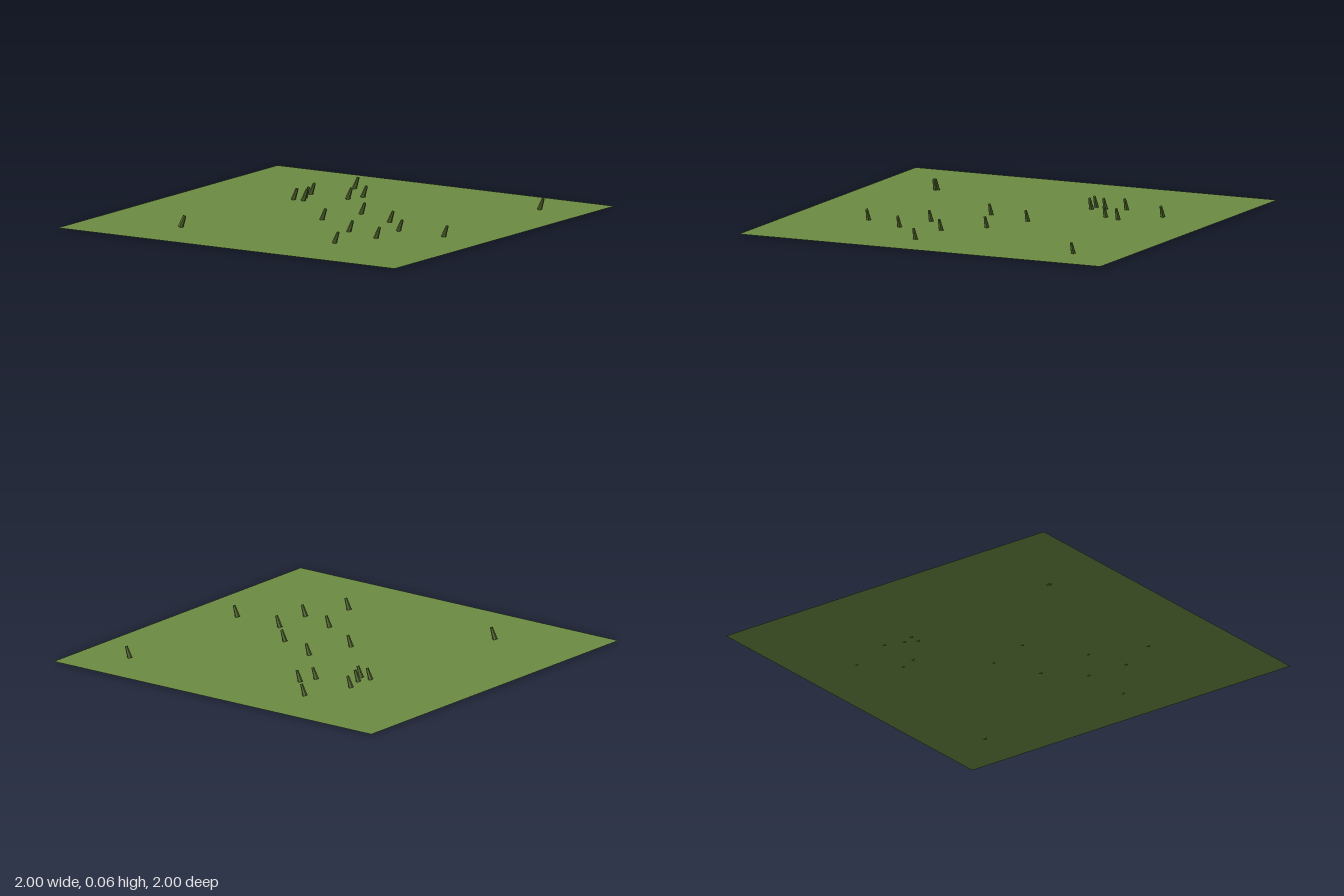
import * as THREE from 'three';

const GROUND_Y = 0.004;

// Tuft midpoints on the field: [x, z]
const TUFTS = [
  [-0.33, -0.69], [0.748, -0.722], [-0.17, -0.521], [-0.428, -0.442], [-0.204, -0.436],
  [-0.396, -0.341], [-0.423, -0.277], [-0.365, -0.278], [0.07, -0.138], [0.309, -0.029],
  [-0.007, 0.101], [0.475, 0.143], [0.748, 0.151], [0.279, 0.294], [0.487, 0.367],
  [0.385, 0.588], [-0.495, 0.638], [-0.488, 0.645],
];

export function createModel() {
  const model = new THREE.Group();
  model.name = 'grassField';

  const grass = new THREE.MeshStandardMaterial({ color: 0x6b8a42, side: THREE.DoubleSide });
  grass.name = 'grass green';
  const blade = new THREE.MeshStandardMaterial({ color: 0x556b2f, flatShading: true });
  blade.name = 'dark olive';

  // Flat square field
  const field = new THREE.Mesh(new THREE.PlaneGeometry(2, 2).rotateX(-Math.PI / 2), grass);
  field.name = 'field';
  field.position.y = GROUND_Y;
  model.add(field);

  // Stubby tapered tufts, all leaning towards +x
  const tuftGeometry = new THREE.CylinderGeometry(0.007, 0.013, 0.062, 6);
  tuftGeometry.rotateZ(-0.38);
  tuftGeometry.computeBoundingBox();
  tuftGeometry.translate(0, -tuftGeometry.boundingBox.min.y, 0);
  TUFTS.forEach(([x, z], i) => {
    const tuft = new THREE.Mesh(tuftGeometry, blade);
    tuft.name = `grassTuft${i + 1}`;
    tuft.position.set(x, 0, z);
    model.add(tuft);
  });

  return model;
}
